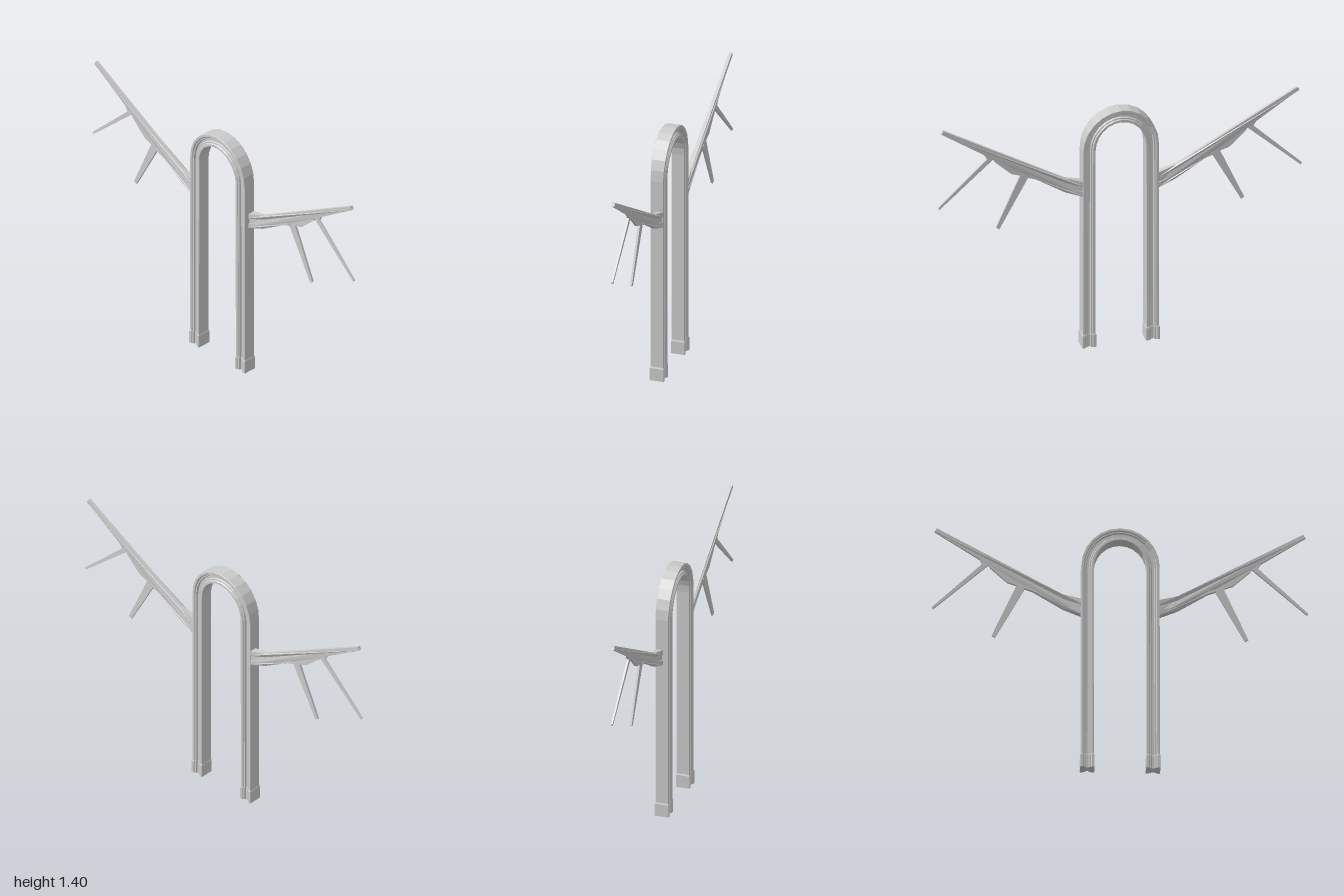
import * as THREE from 'three';

const material = new THREE.MeshStandardMaterial({ color: 0xcccccc, flatShading: true });

// Half of the grooved cross-section: u points out of the arch, z to the front
const front = [[0.035, 0.034], [0.033, 0.036], [0.021, 0.036], [0.016, 0.03], [0.010, 0.03], [0.006, 0.021],
  [-0.006, 0.021], [-0.010, 0.03], [-0.016, 0.03], [-0.021, 0.036], [-0.033, 0.036], [-0.035, 0.034]];
const section = [...front, ...front.map(([u, z]) => [-u, -z])];

// Sweep the section along rings {x, y, nx, ny, su, sz} and cap both ends
function sweep(rings) {
  const pos = [];
  const n = section.length;
  const point = (r, j) => {
    const [u, z] = section[j % n];
    return [r.x + r.nx * u * r.su, r.y + r.ny * u * r.su, z * r.sz];
  };
  for (let i = 0; i < rings.length - 1; i++) {
    for (let j = 0; j < n; j++) {
      const a = point(rings[i], j), b = point(rings[i], j + 1);
      const c = point(rings[i + 1], j), d = point(rings[i + 1], j + 1);
      pos.push(...a, ...c, ...b, ...b, ...c, ...d);
    }
  }
  const first = rings[0], last = rings[rings.length - 1];
  const faces = THREE.ShapeUtils.triangulateShape(section.map(([u, z]) => new THREE.Vector2(u, z)), []);
  for (const [a, b, c] of faces) {
    pos.push(...point(first, a), ...point(first, b), ...point(first, c));
    pos.push(...point(last, a), ...point(last, c), ...point(last, b));
  }
  const geometry = new THREE.BufferGeometry();
  geometry.setAttribute('position', new THREE.Float32BufferAttribute(pos, 3));
  geometry.computeVertexNormals();
  return geometry;
}

// Flat outline given half its thickness at every corner by a rule
function plate(points, halfThickness) {
  const shape = new THREE.Shape(points.map(([x, y]) => new THREE.Vector2(x, y)));
  const geometry = new THREE.ExtrudeGeometry(shape, { depth: 2, bevelEnabled: false });
  const p = geometry.attributes.position;
  for (let i = 0; i < p.count; i++) {
    p.setZ(i, (p.getZ(i) - 1) * halfThickness(p.getX(i), p.getY(i)));
  }
  geometry.computeVertexNormals();
  return geometry;
}

function addMesh(parent, name, geometry) {
  const mesh = new THREE.Mesh(geometry, material);
  mesh.name = name;
  parent.add(mesh);
  return mesh;
}

function createBranch() {
  const branch = new THREE.Group();
  // Web with two tapering prongs
  const outline = [[0.2, 0.91], [0.305, 0.945], [0.465, 1.045], [0.505, 1.06], [0.665, 0.768], [0.682, 0.78],
    [0.55, 1.075], [0.6, 1.092], [0.69, 1.175], [0.7, 1.192], [0.993, 0.93], [1.0, 0.94],
    [0.732, 1.198], [0.748, 1.225], [0.986, 1.382], [0.974, 1.396], [0.305, 1.022], [0.2, 0.99]];
  addMesh(branch, 'branchWeb', plate(outline, (x, y) => {
    if (x < 0.25) return 0.014;
    const prongTip = (x > 0.65 && y < 0.8) || (x > 0.98 && y < 1);
    return prongTip ? 0.005 : 0.0065;
  }));
  // Raised rails along the upper edge and under the root
  const flare = (x) => (x < 0.25 ? 0.021 : 0.009);
  addMesh(branch, 'upperRail', plate([[0.2, 0.965], [0.305, 1.0], [0.983, 1.38], [0.974, 1.4],
    [0.305, 1.026], [0.2, 0.995]], flare));
  addMesh(branch, 'lowerRail', plate([[0.2, 0.905], [0.305, 0.943], [0.465, 1.042], [0.51, 1.058],
    [0.51, 1.072], [0.46, 1.06], [0.305, 0.965], [0.2, 0.935]], flare));
  return branch;
}

export function createModel() {
  const model = new THREE.Group();
  model.name = 'branchedArch';

  // Arch: straight legs joined by a slightly tall half ellipse, a little deeper at the top
  const rings = [{ x: 0.175, y: 0.06, nx: 1, ny: 0, su: 1, sz: 1 }];
  const rx = 0.174, ry = 0.19, spring = 1.174, steps = 12;
  for (let i = 0; i <= steps; i++) {
    const a = (i / steps) * Math.PI;
    const normal = new THREE.Vector2(Math.cos(a) / rx, Math.sin(a) / ry).normalize();
    rings.push({
      x: rx * Math.cos(a), y: spring + ry * Math.sin(a), nx: normal.x, ny: normal.y,
      su: 1, sz: 1 + 0.1 * Math.min(1, Math.sin(a) * 1.4),
    });
  }
  rings.push({ ...rings[0], x: -0.175, nx: -1 });
  addMesh(model, 'arch', sweep(rings));

  // Feet: thicker sleeves around the leg ends
  const foot = sweep([[0, 1.1], [0.072, 1.1], [0.08, 1]].map(([y, s]) => (
    { x: 0, y, nx: 1, ny: 0, su: s, sz: s })));
  addMesh(model, 'leftFoot', foot).position.x = 0.175;
  addMesh(model, 'rightFoot', foot).position.x = -0.175;

  // Branches: a half turn makes the opposite side
  ['leftBranch', 'rightBranch'].forEach((name, i) => {
    const branch = createBranch();
    branch.name = name;
    branch.rotation.y = i * Math.PI;
    branch.position.z = -0.014;
    model.add(branch);
  });
  return model;
}
